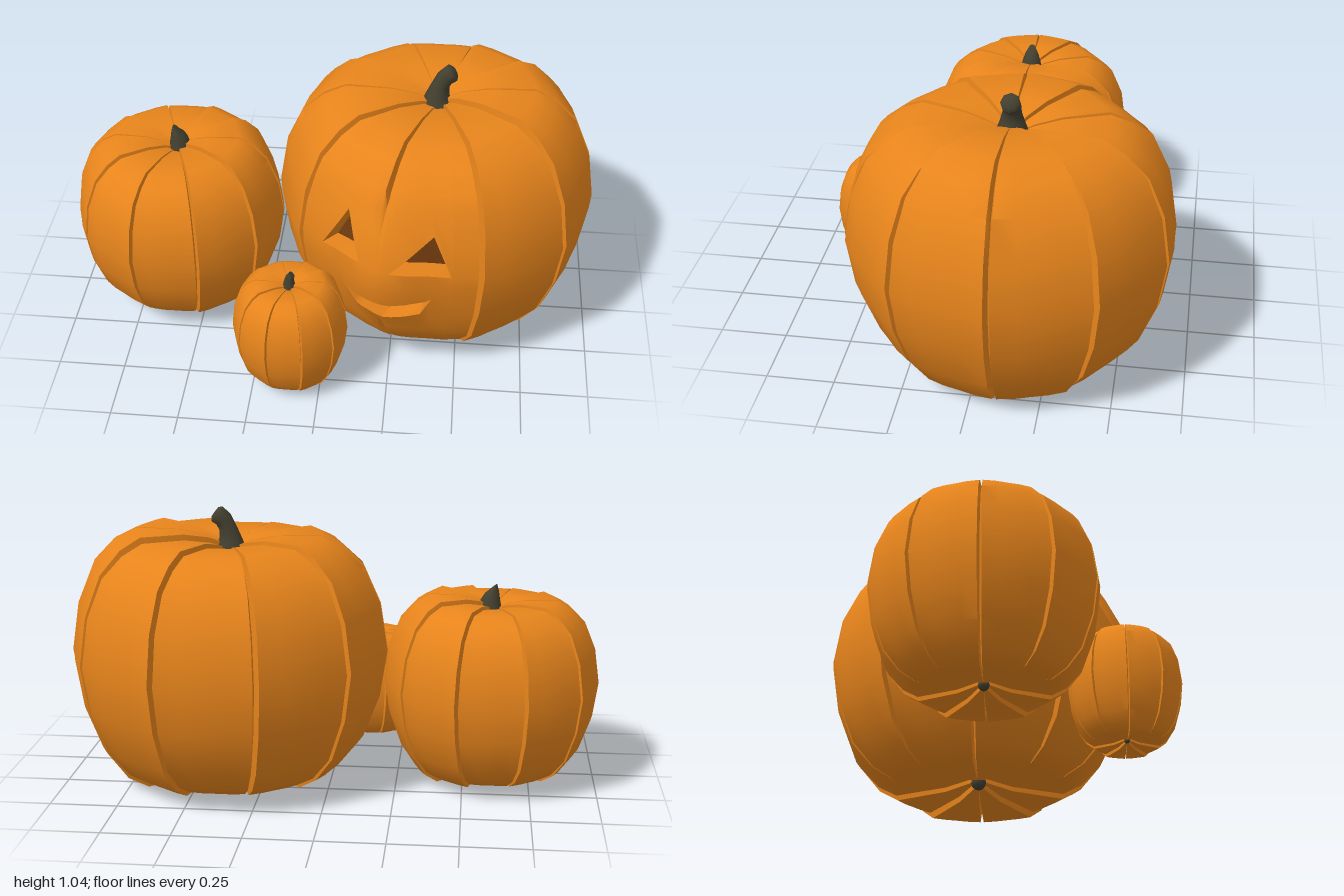
import * as THREE from 'three';
import { toCreasedNormals } from 'three/addons/utils/BufferGeometryUtils.js';

const RIBS = 10, RIB = 360 / RIBS, CENTRE_X = 0.39, MIDDLE_Y = 0.48;
// rib profile as [radius, height], bottom to top
const PROFILE = [[0.02, 0.04], [0.14, 0.012], [0.35, 0], [0.43, 0.05], [0.51, 0.165], [0.572, 0.33], [0.6, 0.51],
  [0.572, 0.69], [0.51, 0.84], [0.43, 0.925], [0.35, 0.965], [0.18, 0.96], [0.08, 0.94], [0.02, 0.915]];
// positions across one rib, from groove to groove
const ACROSS = [0, 0.03, 0.27, 0.5, 0.73, 0.97, 1];
// carved openings: lower and upper outlines as [x, y]
const MOUTH = {
  low: [[0.06, 0.41], [0.12, 0.34], [0.22, 0.305], [0.36, 0.34], [0.4, 0.42]],
  high: [[0.06, 0.41], [0.1, 0.4], [0.25, 0.39], [0.38, 0.41], [0.4, 0.42]],
};
const EYES = {
  low: [[-0.02, 0.54], [0.14, 0.56], [0.25, 0.55], [0.47, 0.53]],
  high: [[-0.02, 0.54], [0.06, 0.72], [0.14, 0.56], [0.25, 0.55], [0.4, 0.69], [0.47, 0.53]],
};
const FACE_FROM = 72, FACE_TO = 144, SEAM = 108;
const { lerp, smoothstep, degToRad, radToDeg } = THREE.MathUtils;

// piecewise linear lookup, clamped at both ends
function lookup(points, x) {
  if (x <= points[0][0]) return points[0][1];
  for (let i = 1; i < points.length; i++) {
    const [x0, y0] = points[i - 1], [x1, y1] = points[i];
    if (x <= x1) return y0 + (y1 - y0) * (x - x0) / (x1 - x0);
  }
  return points[points.length - 1][1];
}
const SIDE = PROFILE.slice(4, 9).map(([r, y]) => [y, r]);
const angleOf = x => radToDeg(Math.acos((x - CENTRE_X) / 0.61));
const xOf = deg => CENTRE_X + 0.61 * Math.cos(degToRad(deg));

// height lost at the crown by the ribs at front, back and right
function sag(deg) {
  const t = degToRad(deg);
  return (0.03 * Math.sin(t) ** 2 + 0.01 * (1 - Math.cos(t))) / MIDDLE_Y;
}

// point on a pumpkin: each rib is a nearly flat slice that dips into a narrow groove
function rindPoint(deg, r, y, carved, inset = 1) {
  const rib = Math.floor(deg / RIB + 1e-6), u = deg / RIB - rib;
  const d = Math.max(0, Math.min(u, 1 - u)), rim = Math.min(1, d / 0.03);
  let groove = 0.07 * (1 - rim), bulge = 0;
  if (carved) {
    if (Math.abs(deg - SEAM) < 5) groove *= smoothstep(Math.abs(y - 0.5), 0.22, 0.33);
    bulge = 0.045 * Math.exp(-(((deg - 107) / 16) ** 2) - ((y - 0.48) / 0.2) ** 2);
  }
  const drop = lerp(sag(deg), sag((rib + 0.5) * RIB), rim) * smoothstep(Math.abs(y - MIDDLE_Y), 0.25, 0.45);
  const radius = (r * (1 - groove - 0.025 * smoothstep(d, 0.03, 0.5)) + bulge) * inset, t = degToRad(deg);
  return [radius * Math.cos(t), MIDDLE_Y + (y - MIDDLE_Y) * (1 - groove) * (1 - drop), radius * Math.sin(t)];
}

function quad(out, a, b, c, d) {
  out.push(...a, ...b, ...c, ...a, ...c, ...d);
}

function geometryFrom(positions, crease) {
  const g = new THREE.BufferGeometry();
  g.setAttribute('position', new THREE.Float32BufferAttribute(positions, 3));
  return toCreasedNormals(g, crease);
}

function addPlainRib(out, start) {
  const columns = ACROSS.map(u => start + u * RIB);
  for (let i = 0; i + 1 < columns.length; i++) {
    for (let j = 0; j + 1 < PROFILE.length; j++) {
      const p = (c, k) => rindPoint(columns[c], ...PROFILE[k], false);
      quad(out, p(i, j), p(i, j + 1), p(i + 1, j + 1), p(i + 1, j));
    }
  }
}

// two ribs with carved eyes and mouth; rows follow the outlines of the openings
function addFace(skin, floor) {
  const angles = new Set([MOUTH, EYES].flatMap(o => [...o.low, ...o.high]).map(p => angleOf(p[0])));
  for (const s of [FACE_FROM, SEAM]) for (const u of ACROSS) angles.add(s + u * RIB);
  const columns = [...angles].sort((a, b) => a - b);
  const rows = columns.map(deg => {
    const x = xOf(deg), ml = lookup(MOUTH.low, x), mh = lookup(MOUTH.high, x);
    const el = lookup(EYES.low, x), eh = lookup(EYES.high, x);
    const ys = [0.23, (0.23 + ml) / 2, ml, mh, (mh + el) / 2, el, eh, (eh + 0.77) / 2, 0.77];
    return [...PROFILE.slice(0, 5), ...ys.map(y => [lookup(SIDE, y), y]), ...PROFILE.slice(8)];
  });
  const p = (c, k, inset) => rindPoint(columns[c], ...rows[c][k], true, inset);
  const holes = [7, 10], DEPTH = 0.87;
  for (let i = 0; i + 1 < columns.length; i++) {
    for (let j = 0; j + 1 < rows[0].length; j++) {
      if (!holes.includes(j)) {
        quad(skin, p(i, j), p(i, j + 1), p(i + 1, j + 1), p(i + 1, j));
        continue;
      }
      const open = Math.max(...[i, i + 1].map(c => rows[c][j + 1][1] - rows[c][j][1]));
      if (open < 1e-4) continue;
      quad(floor, p(i, j, DEPTH), p(i, j + 1, DEPTH), p(i + 1, j + 1, DEPTH), p(i + 1, j, DEPTH));
      // cut edges of the opening
      quad(skin, p(i + 1, j), p(i, j), p(i, j, DEPTH), p(i + 1, j, DEPTH));
      quad(skin, p(i + 1, j + 1, DEPTH), p(i, j + 1, DEPTH), p(i, j + 1), p(i + 1, j + 1));
    }
  }
}

// stem lofted through rings [x, y, radius, tilt], closed at the tip
function stemGeometry(rings) {
  const out = [], SIDES = 8;
  const p = (k, i) => {
    const [x, y, r, tilt] = rings[k], t = i / SIDES * Math.PI * 2;
    const c = r * Math.cos(t);
    return [x + c * Math.cos(tilt), y - c * Math.sin(tilt), r * Math.sin(t)];
  };
  const last = rings.length - 1, tip = [rings[last][0], rings[last][1], 0];
  for (let i = 0; i < SIDES; i++) {
    for (let k = 0; k < last; k++) quad(out, p(k, i), p(k + 1, i), p(k + 1, i + 1), p(k, i + 1));
    out.push(...p(last, i), ...tip, ...p(last, i + 1));
  }
  return geometryFrom(out, 1.1);
}

export function createModel() {
  const rind = new THREE.MeshStandardMaterial({ color: 0xea861c });
  rind.name = 'orange rind';
  const hollow = new THREE.MeshStandardMaterial({ color: 0x703a0e });
  hollow.name = 'dark hollow';
  const stemMaterial = new THREE.MeshStandardMaterial({ color: 0x434030 });
  stemMaterial.name = 'stem green';

  const model = new THREE.Group();
  model.name = 'pumpkins';
  const add = (parent, name, geometry, material) => {
    const mesh = new THREE.Mesh(geometry, material);
    mesh.name = name;
    parent.add(mesh);
    return mesh;
  };

  const pumpkins = [
    { name: 'carvedPumpkin', at: [CENTRE_X, 0, -0.095], scale: [1, 1], carved: true,
      stem: [[-0.01, 0.87, 0.065, 0], [-0.01, 0.925, 0.044, 0], [0, 0.965, 0.034, 0.2], [0.016, 0.997, 0.034, 0.6],
        [0.04, 1.017, 0.036, 0.95], [0.049, 1.024, 0.022, 0.95]] },
    { name: 'mediumPumpkin', at: [-0.6, 0.015, -0.035], scale: [0.675, 0.73],
      stem: [[0.01, 0.64, 0.045, 0], [0.01, 0.685, 0.036, 0], [0.005, 0.715, 0.026, 0.2], [-0.003, 0.735, 0.014, 0.7]] },
    { name: 'smallPumpkin', at: [-0.115, 0.01, 0.465], scale: [0.355, 0.46],
      stem: [[0, 0.4, 0.026, 0], [0, 0.44, 0.019, 0], [0.003, 0.46, 0.015, 0.3], [0.01, 0.468, 0.015, 0.8]] },
  ];

  for (const { name, at, scale, carved, stem } of pumpkins) {
    const group = new THREE.Group();
    group.name = name;
    group.position.set(...at);
    const skin = [], floor = [];
    for (let start = 0; start < 360; start += RIB) {
      if (!carved || start < FACE_FROM || start >= FACE_TO) addPlainRib(skin, start);
    }
    if (carved) addFace(skin, floor);
    const size = g => g.scale(scale[0], scale[1], scale[0]);
    add(group, 'rind', size(geometryFrom(skin, 1.2)), rind);
    if (carved) add(group, 'carvedHollows', size(geometryFrom(floor, 0.8)), hollow);
    add(group, 'stem', stemGeometry(stem), stemMaterial);
    // small scar under the pumpkin
    const scar = add(group, 'blossomEnd', new THREE.SphereGeometry(0.03 * scale[0], 8, 6), stemMaterial);
    scar.position.y = 0.055 * scale[1];
    model.add(group);
  }
  return model;
}
